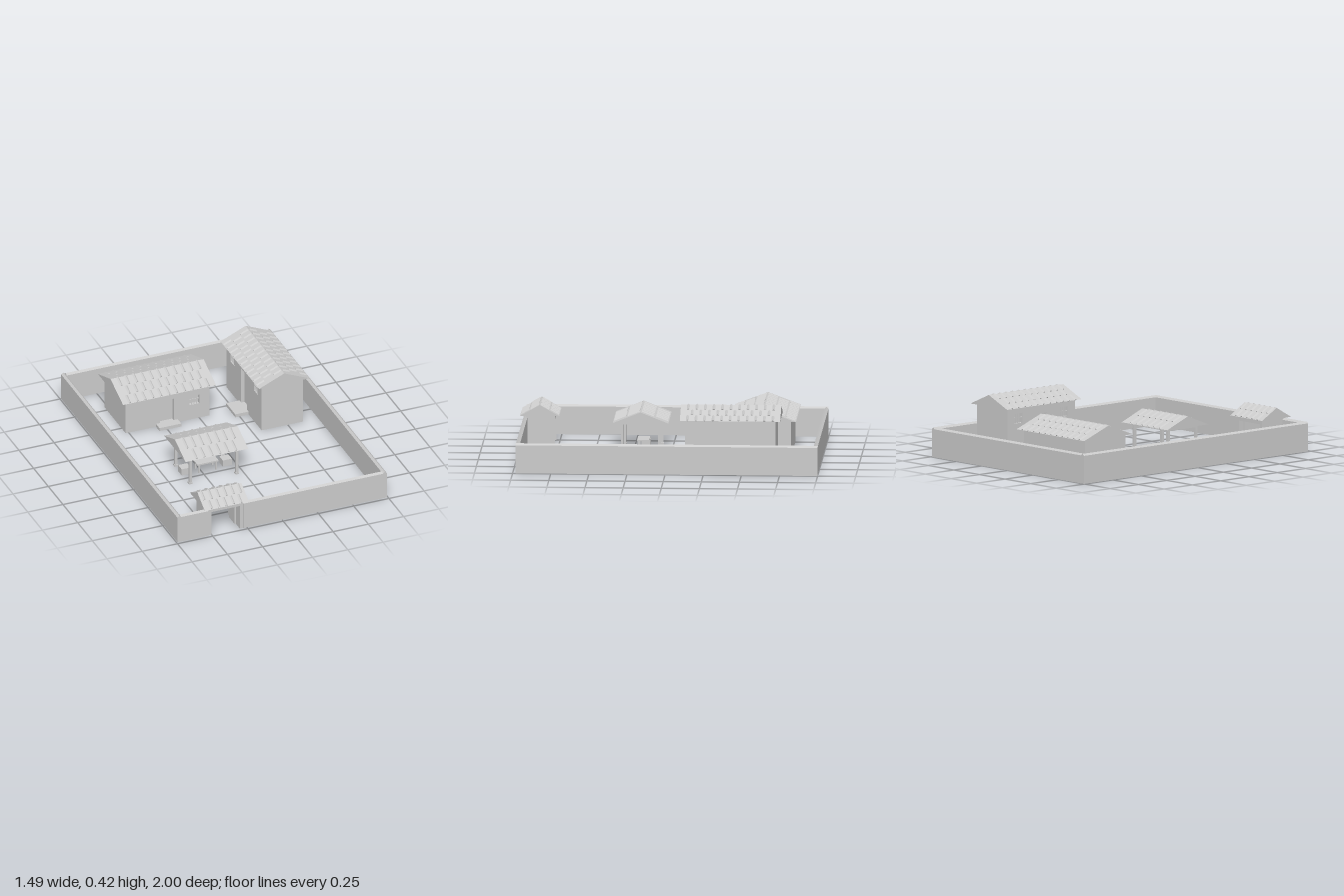
import * as THREE from 'three';
import { mergeGeometries } from 'three/addons/utils/BufferGeometryUtils.js';

const stone = new THREE.MeshStandardMaterial({ color: 0xcccccc });
stone.name = 'pale grey';

function mesh(name, geometry, parent) {
  const m = new THREE.Mesh(geometry, stone);
  m.name = name;
  parent.add(m);
  return m;
}

// Box given by its centre in plan, its base height and its size
function box(name, parent, x, y, z, w, h, d) {
  const m = mesh(name, new THREE.BoxGeometry(w, h, d), parent);
  m.position.set(x, y + h / 2, z);
  return m;
}

function group(name, parent, x = 0, y = 0, z = 0) {
  const g = new THREE.Group();
  g.name = name;
  g.position.set(x, y, z);
  parent.add(g);
  return g;
}

// Extrude a closed profile, centred along x
function extrudeAlongX(points, length) {
  const shape = new THREE.Shape(points.map(([x, y]) => new THREE.Vector2(x, y)));
  const geo = new THREE.ExtrudeGeometry(shape, { depth: length, bevelEnabled: false });
  geo.translate(0, 0, -length / 2);
  geo.rotateY(Math.PI / 2);
  return geo;
}

// Closed gable roof with its ridge along x and staggered raised tile ribs
function gableRoof(parent, length, width, rise, rows, pitch) {
  const g = group('roof', parent);
  const half = width / 2;
  mesh('roofBody', extrudeAlongX([[-half, 0], [half, 0], [0, rise]], length), g);
  const slope = Math.hypot(half, rise);
  const angle = Math.atan2(rise, half);
  const row = slope / rows;
  const ribs = [];
  for (const side of [0, Math.PI]) {
    for (let r = 0; r < rows; r++) {
      const count = Math.floor(length / pitch) - (r % 2);
      for (let i = 0; i < count; i++) {
        const rib = new THREE.CylinderGeometry(0.009, 0.009, row * 0.86, 4).toNonIndexed();
        rib.computeVertexNormals();
        rib.scale(1, 1, 0.8);
        rib.rotateX(Math.PI / 2);
        rib.translate((i - (count - 1) / 2) * pitch, 0, row * (r + 0.5));
        rib.rotateX(angle);
        rib.translate(0, rise, 0);
        rib.rotateY(side);
        ribs.push(rib);
      }
    }
  }
  mesh('roofTiles', mergeGeometries(ribs), g);
  return g;
}

// House facing +z: solid core, facade with door and window openings, roof, step
function house(name, parent, o) {
  const g = group(name, parent, o.x, 0, o.z);
  const recess = 0.025;
  box('houseBody', g, 0, 0, -recess / 2, o.w, o.h, o.d - recess);
  const rect = (path, x, y, w, h) => {
    path.moveTo(x - w / 2, y);
    path.lineTo(x + w / 2, y);
    path.lineTo(x + w / 2, y + h);
    path.lineTo(x - w / 2, y + h);
    path.closePath();
    return path;
  };
  const facade = rect(new THREE.Shape(), 0, 0, o.w, o.h);
  facade.holes.push(rect(new THREE.Path(), o.doorX, 0.02, 0.1, o.doorTop - 0.02));
  const win = { w: 0.07, h: 0.065 };
  for (const x of o.windows) {
    facade.holes.push(rect(new THREE.Path(), x, o.windowY, win.w, win.h));
    for (let i = -1; i <= 1; i++)
      box('windowBar', g, x + i * win.w / 4, o.windowY, o.d / 2 - 0.008, 0.005, win.h, 0.006);
    box('windowCrossbar', g, x, o.windowY + win.h / 2, o.d / 2 - 0.008, win.w, 0.005, 0.006);
  }
  const front = mesh('facade', new THREE.ExtrudeGeometry(facade, { depth: recess, bevelEnabled: false }), g);
  front.position.z = o.d / 2 - recess;
  box('doorStep', g, o.doorX, 0, o.d / 2 + o.step / 2, 0.155, 0.022, o.step);
  gableRoof(g, o.roofLength, o.roofWidth, o.rise, 3, 0.056).position.y = o.h;
  return g;
}

export function createModel() {
  const root = new THREE.Group();
  root.name = 'walledCourtyard';

  // Perimeter walls with a small ridged coping
  const walls = group('perimeterWall', root);
  const t = 0.0135, coping = [[-t, 0], [t, 0], [t, 0.186], [0, 0.198], [-t, 0.186]];
  const wall = (name, length, x, z, turn) => {
    const m = mesh(name, extrudeAlongX(coping, length), walls);
    m.position.set(x, 0, z);
    m.rotation.y = turn;
  };
  wall('leftWall', 1.98, 0.729, -0.008, Math.PI / 2);
  wall('rightWall', 1.98, -0.729, -0.008, Math.PI / 2);
  wall('backWall', 1.43, 0, -0.985, 0);
  wall('frontWallLong', 0.99, 0.22, 0.968, 0);
  wall('frontWallShort', 0.2, -0.62, 0.968, 0);

  // Gatehouse with open door leaves
  const gate = group('gatehouse', root, -0.4, 0, 0.872);
  for (const s of [-1, 1]) {
    box('gateSideWall', gate, s * 0.112, 0, 0.005, 0.022, 0.205, 0.205);
    box('gateDoorLeaf', gate, s * 0.096, 0, -0.01, 0.008, 0.172, 0.1);
  }
  box('gateLintel', gate, 0, 0.173, 0.005, 0.202, 0.032, 0.205);
  gableRoof(gate, 0.312, 0.256, 0.073, 2, 0.052).position.y = 0.205;

  // Main hall facing the gate
  house('mainHall', root, {
    x: -0.224, z: -0.611, w: 0.595, h: 0.242, d: 0.36, doorX: -0.005, doorTop: 0.185,
    windows: [0.19], windowY: 0.11, step: 0.06, roofLength: 0.66, roofWidth: 0.43, rise: 0.08,
  });

  // Taller side house, turned to face the courtyard
  house('sideHouse', root, {
    x: 0.462, z: -0.42, w: 0.595, h: 0.34, d: 0.295, doorX: 0, doorTop: 0.28,
    windows: [-0.2, 0.2], windowY: 0.235, step: 0.095, roofLength: 0.658, roofWidth: 0.358, rise: 0.078,
  }).rotation.y = -Math.PI / 2;

  // Open pavilion on four posts
  const pavilion = group('pavilion', root, -0.212, 0, 0.198);
  for (const sx of [-1, 1]) {
    for (const sz of [-1, 1]) {
      box('post', pavilion, sx * 0.165, 0, sz * 0.122, 0.018, 0.208, 0.018);
      box('postFoot', pavilion, sx * 0.165, 0, sz * 0.122, 0.026, 0.012, 0.026);
    }
    box('sideBeam', pavilion, sx * 0.165, 0.19, 0, 0.016, 0.018, 0.25);
    box('longBeam', pavilion, 0, 0.19, sx * 0.122, 0.34, 0.018, 0.016);
  }
  gableRoof(pavilion, 0.445, 0.365, 0.072, 2, 0.056).position.y = 0.208;

  // Table and two block stools under the pavilion
  const table = group('table', pavilion, 0, 0, -0.01);
  box('tableTop', table, 0, 0.06, 0, 0.15, 0.01, 0.08);
  for (const sx of [-1, 1])
    for (const sz of [-1, 1]) box('tableLeg', table, sx * 0.06, 0, sz * 0.03, 0.01, 0.06, 0.01);
  for (const s of [-1, 1]) box('stool', pavilion, s * 0.146, 0, -0.02, 0.064, 0.047, 0.06);

  return root;
}
